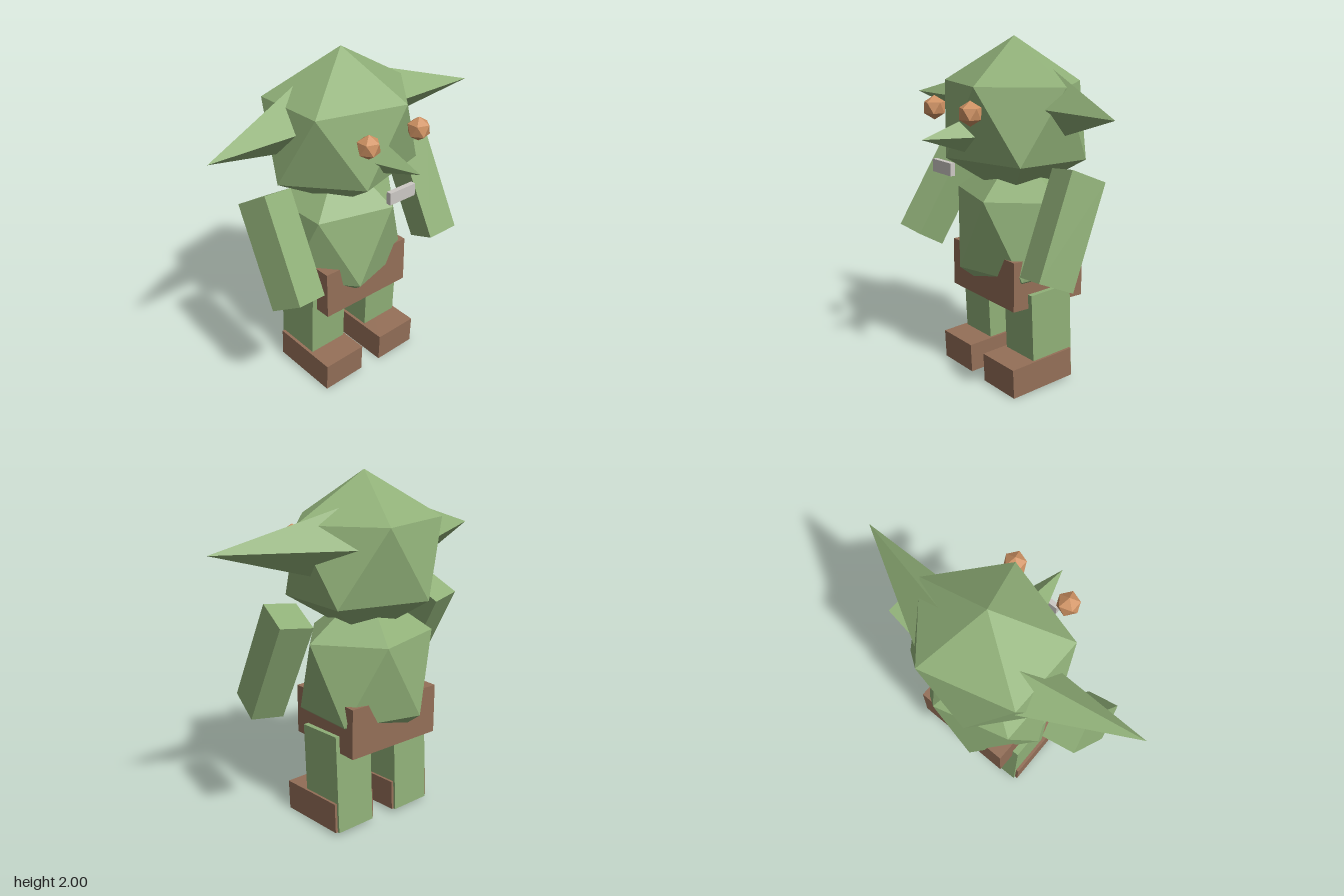
import * as THREE from 'three';
import { ConvexGeometry } from 'three/addons/geometries/ConvexGeometry.js';

const material = (name, color) => {
  const m = new THREE.MeshStandardMaterial({ color });
  m.name = name;
  return m;
};

// Faceted icosahedron standing on a vertex, with its own radius on each axis
function facetedBall(rx, ry, rz) {
  const points = [new THREE.Vector3(0, ry, 0), new THREE.Vector3(0, -ry, 0)];
  const h = 1 / Math.sqrt(5), r = 2 * h;
  for (let i = 0; i < 5; i++) {
    const a = (i * 2 * Math.PI) / 5;
    points.push(new THREE.Vector3(Math.cos(a) * r * rx, h * ry, Math.sin(a) * r * rz));
    points.push(new THREE.Vector3(-Math.cos(a) * r * rx, -h * ry, Math.sin(a) * r * rz));
  }
  return new ConvexGeometry(points);
}

// Four-sided spike from a tip to four base corners
const spike = (...corners) => new ConvexGeometry(corners.map((c) => new THREE.Vector3(...c)));

export function createModel() {
  const model = new THREE.Group();
  model.name = 'creature';
  const skin = material('greenSkin', 0x90b078);
  const leather = material('brownLeather', 0x946f58);
  const amber = material('amberEye', 0xcf9263);
  const ivory = material('toothGrey', 0xccc8c4);

  const add = (name, geometry, mat, position = [0, 0, 0], rotation = [0, 0, 0]) => {
    const mesh = new THREE.Mesh(geometry, mat);
    mesh.name = name;
    mesh.position.set(...position);
    mesh.rotation.set(...rotation);
    model.add(mesh);
  };
  const box = (w, h, d) => new THREE.BoxGeometry(w, h, d);

  // Head and body
  add('head', facetedBall(0.505, 0.464, 0.438), skin, [0, 1.537, -0.122]);
  add('body', facetedBall(0.44, 0.49, 0.38), skin, [0, 0.89, -0.147]);

  // Face
  add('nose', spike([0.005, 1.47, 0.49], [0.14, 1.47, 0.09], [-0.13, 1.47, 0.09],
    [0.005, 1.605, 0.09], [0.005, 1.335, 0.09]), skin);
  add('teeth', box(0.18, 0.07, 0.03), ivory, [0.005, 1.31, 0.355]);

  // Loincloth block around the hips
  add('loincloth', box(0.61, 0.288, 0.5), leather, [0, 0.646, -0.15]);

  // Ears, eyes, legs and feet on both sides
  for (const [side, s] of [['left', 1], ['right', -1]]) {
    add(side + 'Ear', spike([s * 0.912, 1.63, -0.03], [s * 0.2, 1.63, -0.02], [s * 0.2, 1.63, -0.42],
      [s * 0.2, 1.835, -0.22], [s * 0.2, 1.425, -0.22]), skin);
    add(side + 'Eye', facetedBall(0.068, 0.068, 0.068), amber, [s * 0.178 + 0.002, 1.613, 0.297]);
    const tilt = [0.05, 0.02, 0];
    add(side + 'Leg', box(0.25, 0.576, 0.286), skin, [s * 0.2125 - 0.004, 0.306, -0.155], tilt);
    add(side + 'Foot', box(0.283, 0.175, 0.433), leather, [s * 0.2125 - 0.004, 0.102, -0.078], tilt);
  }

  // Arms, each swung forward by its own amount
  const arm = box(0.193, 0.605, 0.22);
  add('leftArm', arm, skin, [0.55, 1.015, -0.033], [-0.4, -0.16, 0.065]);
  add('rightArm', arm, skin, [-0.55, 1.03, 0.024], [-0.52, 0.205, -0.05]);
  return model;
}
